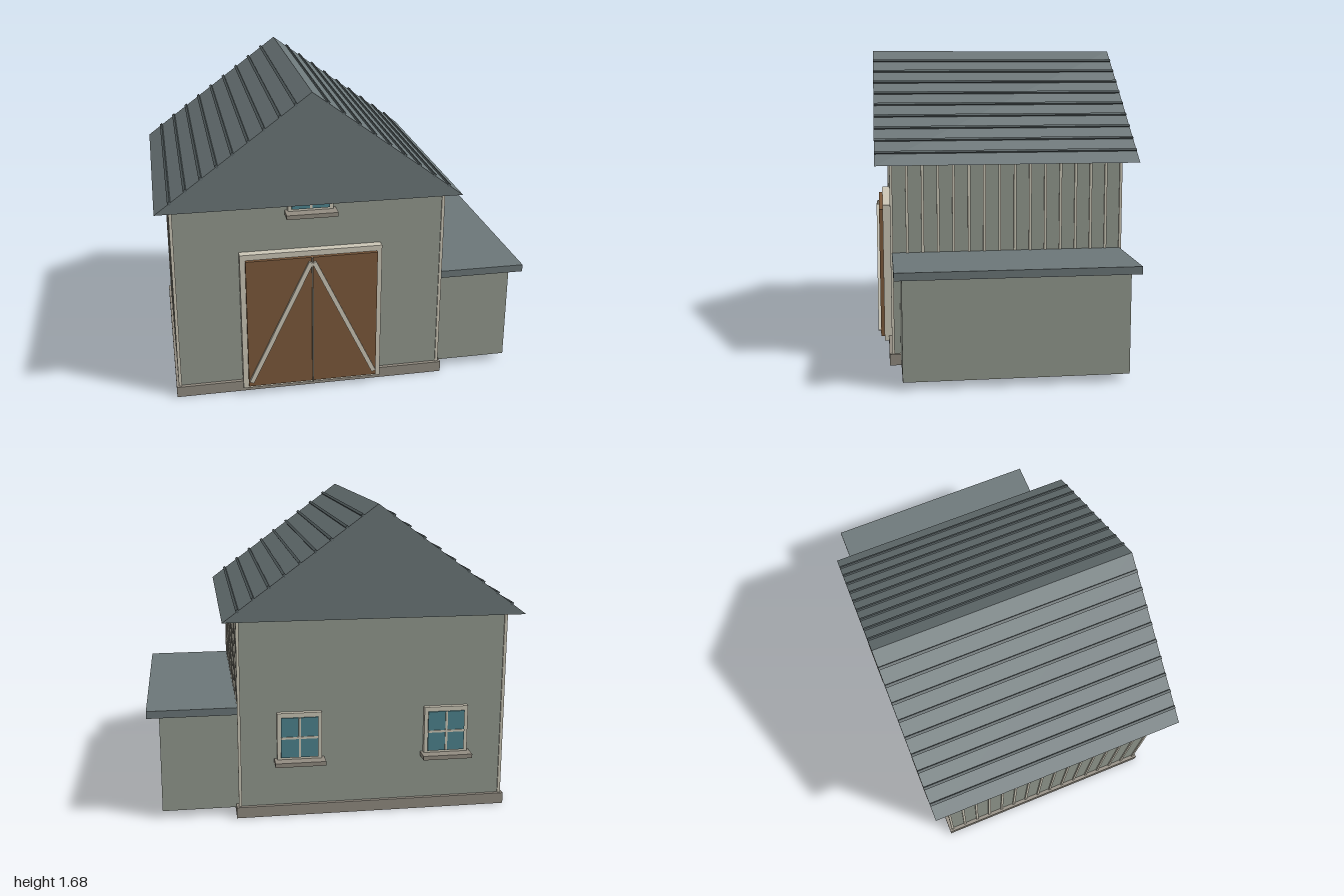
import * as THREE from 'three';

const material = (color) => new THREE.MeshStandardMaterial({ color });

export function createModel() {
  const wall = material(0x949a8f), trim = material(0xcdc8b8), roofing = material(0x6c7779);
  const ribMetal = material(0x555f61), wood = material(0x7d5a3c), stone = material(0x938d82);
  const glass = material(0x4f8590), seam = material(0x958c7c);

  const barn = new THREE.Group();
  barn.name = 'barn';
  const cx = -0.2; // centre line of the main building

  // Box given by its lower and upper limits on each axis
  function block(name, mat, [x0, x1], [y0, y1], [z0, z1], parent = barn) {
    const mesh = new THREE.Mesh(new THREE.BoxGeometry(x1 - x0, y1 - y0, z1 - z0), mat);
    mesh.position.set((x0 + x1) / 2, (y0 + y1) / 2, (z0 + z1) / 2);
    mesh.name = name;
    parent.add(mesh);
    return mesh;
  }

  // Main building
  block('foundation', stone, [-0.94, 0.54], [0, 0.06], [-0.64, 0.64]);
  block('walls', wall, [-0.92, 0.52], [0.06, 1.09], [-0.62, 0.62]);

  // Vertical battens along both side walls, the end ones covering the corners
  for (const side of [-1, 1]) {
    for (let i = 0; i < 16; i++) {
      const z = -0.62 + (1.24 / 15) * i;
      const x = cx + side * 0.72;
      block('batten', trim, [x - 0.008, x + 0.008], [0.06, 1.09], [z - 0.007, z + 0.007]);
    }
  }

  // Solid gable roof
  const gable = new THREE.Shape([
    new THREE.Vector2(-0.8, 0), new THREE.Vector2(0.8, 0), new THREE.Vector2(0, 0.59),
  ]);
  const roof = new THREE.Mesh(
    new THREE.ExtrudeGeometry(gable, { depth: 1.41, bevelEnabled: false }), roofing);
  roof.position.set(cx, 1.09, -0.705);
  roof.name = 'roof';
  barn.add(roof);

  // Raised ribs running along each roof slope
  const slope = Math.atan2(0.59, 0.8);
  for (const side of [-1, 1]) {
    for (let i = 1; i <= 9; i++) {
      const t = i / 10;
      const rib = new THREE.Mesh(new THREE.BoxGeometry(0.015, 0.018, 1.41), ribMetal);
      rib.position.set(cx + side * 0.8 * (1 - t), 1.09 + 0.59 * t, 0);
      rib.rotation.z = -side * slope;
      rib.name = 'roofRib';
      barn.add(rib);
    }
  }

  // Side lean-to
  block('leanToWalls', wall, [0.51, 0.935], [0.04, 0.58], [-0.58, 0.58]);
  block('leanToRoof', roofing, [0.5, 1], [0.575, 0.615], [-0.619, 0.619]);

  // Double door with frame, centre seam and diagonal braces
  const door = new THREE.Group();
  door.name = 'barnDoor';
  barn.add(door);
  block('doorFrame', trim, [-0.58, 0.18], [0.03, 0.82], [0.61, 0.665], door);
  block('doorLeaves', wood, [-0.552, 0.152], [0.05, 0.79], [0.64, 0.685], door);
  block('doorSeam', seam, [cx - 0.004, cx + 0.004], [0.05, 0.79], [0.68, 0.698], door);
  for (const side of [-1, 1]) {
    const dx = 0.33, dy = 0.685;
    const brace = new THREE.Mesh(new THREE.BoxGeometry(0.024, Math.hypot(dx, dy), 0.02), trim);
    brace.position.set(cx + side * (0.008 + dx / 2), 0.08 + dy / 2, 0.69);
    brace.rotation.z = side * Math.atan2(dx, dy);
    brace.name = 'doorBrace';
    door.add(brace);
  }

  // Four-pane window with a deep sill, facing +z from its group origin
  function addWindow(name, x, y, z, turn) {
    const win = new THREE.Group();
    win.name = name;
    block('windowFrame', trim, [-0.12, 0.12], [-0.125, 0.135], [-0.01, 0.026], win);
    block('windowGlass', glass, [-0.1, 0.1], [-0.11, 0.11], [0.01, 0.034], win);
    block('uprightBar', trim, [-0.006, 0.006], [-0.11, 0.11], [0.02, 0.039], win);
    block('crossBar', trim, [-0.1, 0.1], [-0.006, 0.006], [0.02, 0.039], win);
    block('windowSill', stone, [-0.135, 0.135], [-0.145, -0.122], [0, 0.085], win);
    win.position.set(x, y, z);
    win.rotation.y = turn;
    barn.add(win);
  }
  addWindow('loftWindow', cx, 1.162, 0.62, 0);
  addWindow('backWindow', 0.2, 0.445, -0.62, Math.PI);
  addWindow('backWindow', -0.6, 0.445, -0.62, Math.PI);

  return barn;
}
